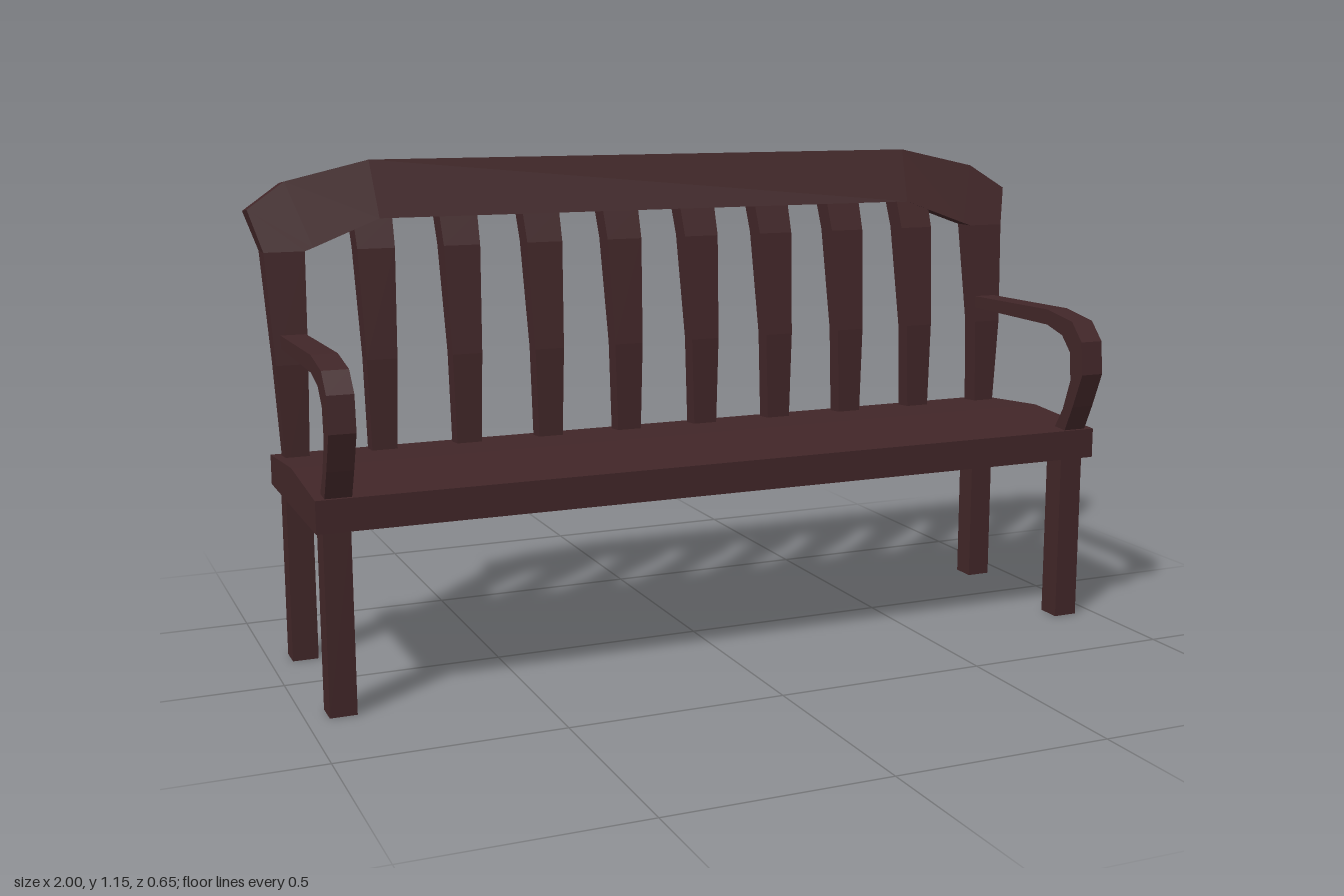
import * as THREE from 'three';

const wood = new THREE.MeshStandardMaterial({ color: 0x412628, flatShading: true });
wood.name = 'darkWood';

// Side profile of the backrest: [y, front z, back z]
const LEAN = [[0.45, -0.16, -0.21], [0.7, -0.16, -0.21], [0.955, -0.185, -0.248], [1.155, -0.26, -0.326]];

function leanAt(y) {
  let i = 0;
  while (i < LEAN.length - 2 && y > LEAN[i + 1][0]) i++;
  const [a, b] = [LEAN[i], LEAN[i + 1]];
  const t = (y - a[0]) / (b[0] - a[0]);
  return [THREE.MathUtils.lerp(a[1], b[1], t), THREE.MathUtils.lerp(a[2], b[2], t)];
}

// Solid following the leaning back; each section is [outerX, outerY, innerX, innerY]
function leaningLoft(sections, inset = 0) {
  const pos = [], idx = [];
  for (const [ox, oy, ix, iy] of sections) {
    const [of, ob] = leanAt(oy), [nf, nb] = leanAt(iy);
    const drop = oy > 1.03 ? 0.007 : 0;
    pos.push(ox, oy, of - inset, ix, iy, nf - inset, ix, iy, nb + inset, ox, oy - drop, ob + inset);
  }
  const n = sections.length;
  for (let s = 0; s < n - 1; s++) {
    for (let k = 0; k < 4; k++) {
      const a = s * 4 + k, b = s * 4 + (k + 1) % 4;
      idx.push(b, a, a + 4, b, a + 4, b + 4);
    }
  }
  const e = (n - 1) * 4;
  idx.push(0, 1, 2, 0, 2, 3, e + 3, e + 2, e + 1, e + 3, e + 1, e);
  const g = new THREE.BufferGeometry();
  g.setAttribute('position', new THREE.Float32BufferAttribute(pos, 3));
  g.setIndex(idx);
  const flat = g.toNonIndexed();
  flat.computeVertexNormals();
  return flat;
}

// Side profile of [z, y] points extruded along x, centred on x = 0
function extrudeAcross(points, width) {
  const shape = new THREE.Shape(points.map(([z, y]) => new THREE.Vector2(z, y)));
  const g = new THREE.ExtrudeGeometry(shape, { depth: width, bevelEnabled: false });
  return g.translate(0, 0, -width / 2).rotateY(-Math.PI / 2);
}

export function createModel() {
  const bench = new THREE.Group();
  bench.name = 'bench';
  const add = (name, geometry, x = 0, y = 0, z = 0) => {
    const mesh = new THREE.Mesh(geometry, wood);
    mesh.name = name;
    mesh.position.set(x, y, z);
    bench.add(mesh);
  };

  // Seat with a gently crowned top
  add('seat', extrudeAcross([[0.268, 0.41], [0.268, 0.482], [0.015, 0.5], [-0.24, 0.48], [-0.24, 0.41]], 1.935));

  // Posts and arched top rail as one continuous frame
  const half = [
    [0.945, 0.45, 0.893, 0.45],
    [0.96, 0.7, 0.887, 0.7],
    [0.973, 0.955, 0.88, 0.955],
    [1.0, 1.05, 0.88, 0.955],
    [0.91, 1.11, 0.86, 0.962],
    [0.71, 1.155, 0.7, 1.022],
  ];
  const mirrored = half.map(([ox, oy, ix, iy]) => [-ox, oy, -ix, iy]).reverse();
  add('backFrame', leaningLoft([...half, ...mirrored]));

  // Tapered back slats
  for (let i = 0; i < 8; i++) {
    const x = (i - 3.5) * 0.2045;
    const section = (y, w) => [x + w, y, x - w, y];
    add('backSlat', leaningLoft([section(0.45, 0.029), section(0.7, 0.036), section(0.955, 0.044), section(1.028, 0.046)], 0.002));
  }

  // Curved armrests and legs on both sides
  const arm = extrudeAcross([
    [0.255, 0.47], [0.29, 0.545], [0.325, 0.63], [0.317, 0.71], [0.275, 0.755], [0.17, 0.773], [-0.18, 0.768],
    [-0.18, 0.738], [0.17, 0.735], [0.235, 0.717], [0.27, 0.68], [0.277, 0.61], [0.25, 0.535], [0.21, 0.47],
  ], 0.058);
  const leg = new THREE.BoxGeometry(0.06, 0.42, 0.06);
  for (const [side, x] of [['left', 0.92], ['right', -0.92]]) {
    add(side + 'Armrest', arm, x * 0.997);
    add(side + 'FrontLeg', leg, x, 0.21, 0.218);
    add(side + 'BackLeg', leg, x, 0.21, -0.19);
  }
  return bench;
}
